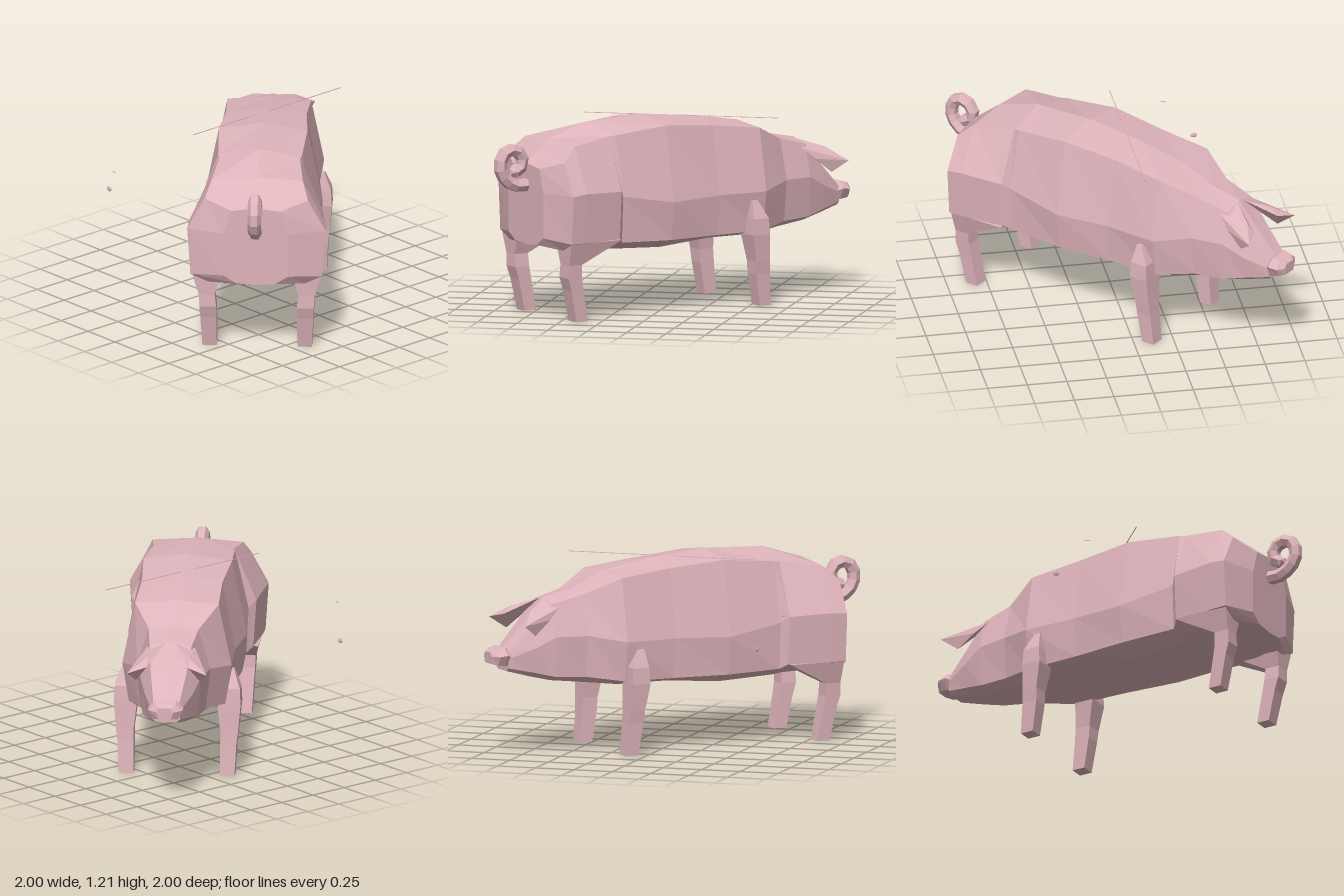
import * as THREE from 'three';
import { ConvexGeometry } from 'three/addons/geometries/ConvexGeometry.js';

const pink = new THREE.MeshStandardMaterial({ color: 0xdeb4bb, flatShading: true });
pink.name = 'pigPink';

// Skin a list of equal-length rings of [x, y, z] points and close both ends
function loft(rings) {
  const pos = [];
  const tri = (a, b, c) => pos.push(...a, ...b, ...c);
  const n = rings[0].length;
  for (let r = 0; r < rings.length - 1; r++) {
    for (let i = 0; i < n; i++) {
      const j = (i + 1) % n, p = rings[r], q = rings[r + 1];
      tri(p[i], p[j], q[j]);
      tri(p[i], q[j], q[i]);
    }
  }
  const first = rings[0], last = rings[rings.length - 1];
  for (let i = 1; i < n - 1; i++) {
    tri(first[0], first[i + 1], first[i]);
    tri(last[0], last[i], last[i + 1]);
  }
  const g = new THREE.BufferGeometry();
  g.setAttribute('position', new THREE.Float32BufferAttribute(pos, 3));
  g.computeVertexNormals();
  return g;
}

// Full symmetric ring from a half outline running top to bottom
function mirrorRing(half, z) {
  const right = [...half].reverse();
  const left = half.slice(1, -1).map(([x, y]) => [-x, y]);
  return [...right, ...left].map(([x, y]) => [x, y, z]);
}

// Leg from levels [y, zCentre, zHalf, xInner, xOuter]
function legGeometry(levels, side) {
  return loft(levels.map(([y, z, h, xi, xo]) => {
    const ring = [[xi, y, z - h], [xi, y, z + h], [xo, y, z + h], [xo, y, z - h]]
      .map(([x, yy, zz]) => [x * side, yy, zz]);
    return side > 0 ? ring : ring.reverse();
  }));
}

export function createModel() {
  const model = new THREE.Group();
  model.name = 'pigModel';
  const pig = new THREE.Group();
  pig.name = 'pig';
  pig.rotation.y = -Math.PI * 0.75; // stands diagonally
  model.add(pig);

  const add = (name, geometry, parent = pig) => {
    const m = new THREE.Mesh(geometry, pink);
    m.name = name;
    parent.add(m);
    return m;
  };

  // Body and head: z, top y, back edge, widest, flank bottom, belly edge, belly y
  const sections = [
    [-1.055, 0.97, 0.15, 0.95, 0.2, 0.8, 0.2, 0.52, 0.12, 0.47, 0.46],
    [-0.98, 1.03, 0.32, 1.0, 0.43, 0.8, 0.41, 0.5, 0.3, 0.45, 0.45],
    [-0.88, 1.11, 0.283, 1.09, 0.425, 0.81, 0.405, 0.5, 0.3, 0.45, 0.45],
    [-0.6, 1.195, 0.25, 1.13, 0.39, 0.8, 0.37, 0.5, 0.28, 0.44, 0.4],
    [-0.56, 1.195, 0.26, 1.135, 0.345, 0.76, 0.33, 0.47, 0.22, 0.42, 0.39],
    [-0.2, 1.21, 0.275, 1.17, 0.37, 0.7, 0.34, 0.46, 0.2, 0.4, 0.38],
    [0.16, 1.175, 0.25, 1.14, 0.33, 0.71, 0.31, 0.46, 0.2, 0.43, 0.42],
    [0.5, 1.12, 0.26, 1.1, 0.34, 0.71, 0.3, 0.46, 0.2, 0.43, 0.42],
    [0.72, 1.02, 0.155, 1.0, 0.23, 0.75, 0.2, 0.49, 0.13, 0.45, 0.45],
    [0.92, 0.98, 0.13, 0.95, 0.19, 0.75, 0.17, 0.5, 0.1, 0.47, 0.47],
    [1.05, 0.83, 0.11, 0.81, 0.15, 0.68, 0.13, 0.53, 0.08, 0.5, 0.5],
    [1.2, 0.67, 0.08, 0.66, 0.09, 0.62, 0.085, 0.56, 0.06, 0.54, 0.54],
  ];
  add('bodyAndHead', loft(sections.map(([z, yt, ex, ey, wx, wy, lx, ly, bx, by, yb]) =>
    mirrorRing([[0, yt], [ex, ey], [wx, wy], [lx, ly], [bx, by], [0, yb]], z))));

  // Snout disc
  const snoutRing = (z, w, lo, hi) => mirrorRing(
    [[0, hi], [w * 0.6, hi], [w, (lo + hi) / 2 + 0.01], [w * 0.7, lo], [0, lo]], z);
  add('snout', loft([
    snoutRing(1.18, 0.09, 0.57, 0.67),
    snoutRing(1.215, 0.11, 0.575, 0.69),
    snoutRing(1.265, 0.106, 0.58, 0.675),
    snoutRing(1.3, 0.055, 0.59, 0.66),
  ]));

  // Legs and ears, mirrored
  const frontLevels = [
    [0, 0.48, 0.042, 0.27, 0.36], [0.2, 0.455, 0.05, 0.27, 0.37],
    [0.28, 0.45, 0.05, 0.27, 0.38], [0.45, 0.43, 0.062, 0.25, 0.395],
    [0.55, 0.43, 0.055, 0.25, 0.39], [0.66, 0.41, 0.02, 0.28, 0.35],
  ];
  const rearLevels = [
    [0, -0.86, 0.042, 0.25, 0.34], [0.2, -0.9, 0.045, 0.25, 0.35],
    [0.28, -0.92, 0.05, 0.25, 0.355], [0.36, -0.92, 0.048, 0.26, 0.36],
    [0.5, -0.79, 0.185, 0.22, 0.4],
  ];
  const earPoints = [
    [0.03, 0.97, 0.93], [0.13, 0.92, 1.07], [0.13, 0.87, 1.12], [0.247, 0.84, 1.167],
    [0.2, 0.77, 1.07], [0.185, 0.86, 0.96], [0.15, 0.93, 0.88],
  ];
  for (const [side, label] of [[1, 'left'], [-1, 'right']]) {
    add(label + 'FrontLeg', legGeometry(frontLevels, side));
    add(label + 'RearLeg', legGeometry(rearLevels, side));
    add(label + 'Ear', new ConvexGeometry(
      earPoints.map(([x, y, z]) => new THREE.Vector3(x * side, y, z))));
  }

  // Curled tail
  const tailPath = new THREE.CatmullRomCurve3([
    [0.84, -1.02], [0.83, -1.12], [0.88, -1.21], [0.96, -1.245], [1.04, -1.215],
    [1.06, -1.15], [1.02, -1.09], [0.95, -1.09], [0.92, -1.14],
  ].map(([y, z]) => new THREE.Vector3(0, y, z)));
  add('tail', new THREE.TubeGeometry(tailPath, 12, 0.042, 6, false));
  const tip = add('tailTip', new THREE.IcosahedronGeometry(0.042, 0));
  tip.position.set(0, 0.92, -1.14);

  // Loose thin pieces around the animal
  const rod = add('thinRod', new THREE.BoxGeometry(0.004, 0.004, 1.23), model);
  rod.position.set(-0.055, 1.18, -0.065);
  const disc = add('smallDisc', new THREE.SphereGeometry(1, 8, 6), model);
  disc.scale.set(0.021, 0.016, 0.007);
  disc.position.set(-0.62, 0.71, 0.74);
  const sliver = add('smallSliver', new THREE.BoxGeometry(0.034, 0.005, 0.004), model);
  sliver.position.set(-0.45, 0.9, 0.855);
  sliver.rotation.y = -0.25;

  return model;
}
